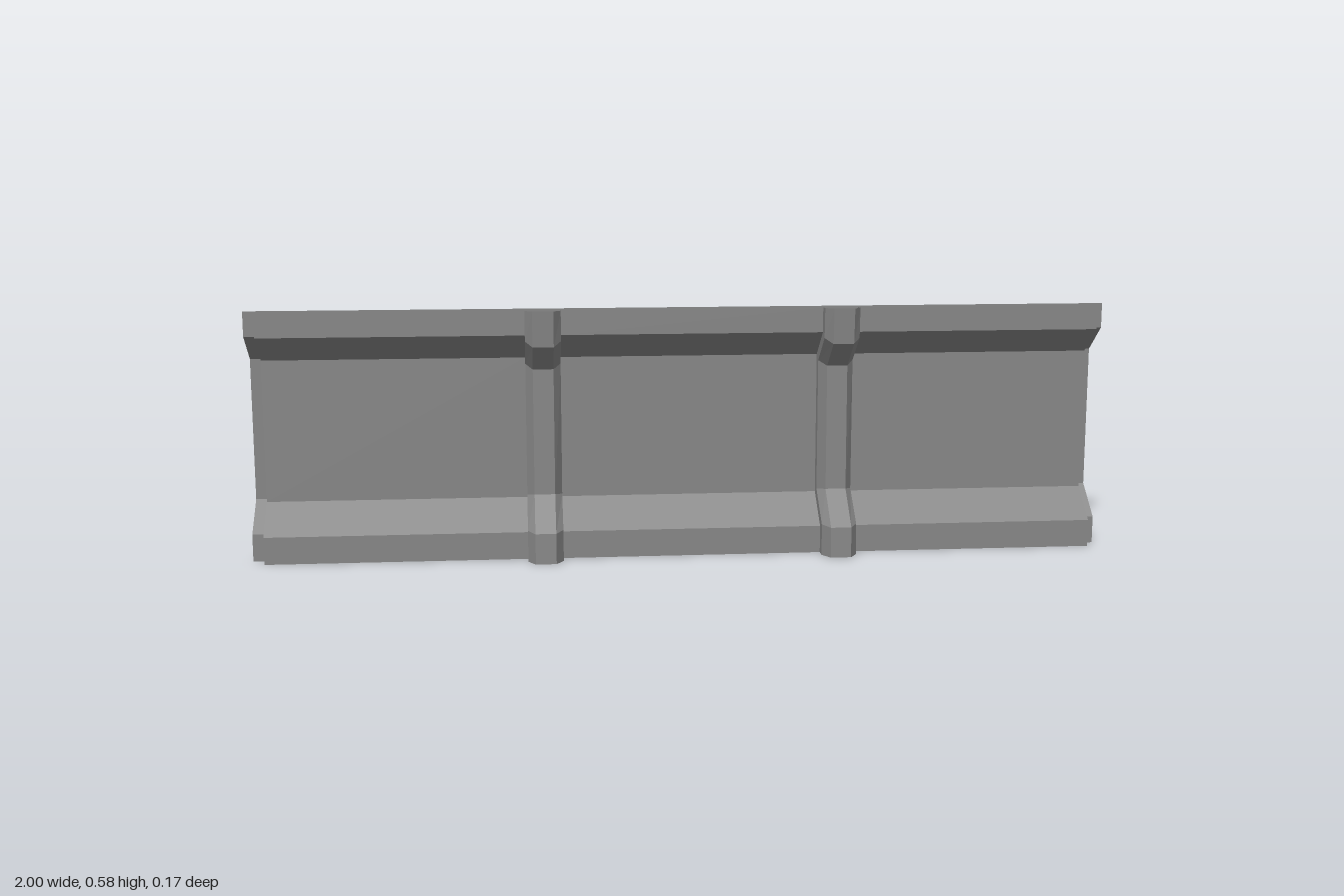
import * as THREE from 'three';

const material = new THREE.MeshStandardMaterial({
  color: 0x878787, flatShading: true, side: THREE.DoubleSide,
});

// Bent side profiles as [z, y], from the bottom flange to the top flange
const SHEET = [[0.028, 0], [0.028, 0.064], [-0.051, 0.131], [-0.051, 0.464], [0.028, 0.525], [0.028, 0.583]];
const RIB_SHOULDER = [[0.055, 0], [0.051, 0.073], [-0.029, 0.142], [-0.029, 0.452], [0.051, 0.514], [0.055, 0.584]];
const RIB_FACE = [[0.083, 0], [0.08, 0.071], [-0.001, 0.147], [-0.004, 0.442], [0.074, 0.503], [0.081, 0.585]];

const RIB_HALF = 0.041;
const FACE_HALF = 0.024;
const RIBS = [['rightRib', -0.323], ['leftRib', 0.366]];

// Skin a strip between neighbouring rails; each rail is a side profile placed at x
function skin(name, rails) {
  const positions = [];
  const point = (rail, i) => [rail.x, rail.profile[i][1], rail.profile[i][0]];
  for (let r = 0; r < rails.length - 1; r++) {
    for (let i = 0; i < SHEET.length - 1; i++) {
      const a = point(rails[r], i), b = point(rails[r + 1], i);
      const c = point(rails[r + 1], i + 1), d = point(rails[r], i + 1);
      positions.push(...a, ...b, ...c, ...a, ...c, ...d);
    }
  }
  const geometry = new THREE.BufferGeometry();
  geometry.setAttribute('position', new THREE.Float32BufferAttribute(positions, 3));
  geometry.computeVertexNormals();
  const mesh = new THREE.Mesh(geometry, material);
  mesh.name = name;
  return mesh;
}

const sheet = (name, x0, x1) => skin(name, [{ x: x0, profile: SHEET }, { x: x1, profile: SHEET }]);

export function createModel() {
  const model = new THREE.Group();
  model.name = 'wallPanel';

  // Back sheet, slightly longer than the front
  const back = sheet('backSheet', -1, 1);
  back.position.z = -0.034;
  model.add(back);

  // Front sheet in sections, interrupted by hollow chamfered ribs open at both ends
  let start = -0.97;
  for (const [name, x] of RIBS) {
    model.add(sheet('frontSheet', start, x - RIB_HALF));
    const rib = skin(name, [
      { x: -RIB_HALF, profile: SHEET },
      { x: -RIB_HALF, profile: RIB_SHOULDER },
      { x: -FACE_HALF, profile: RIB_FACE },
      { x: FACE_HALF, profile: RIB_FACE },
      { x: RIB_HALF, profile: RIB_SHOULDER },
      { x: RIB_HALF, profile: SHEET },
    ]);
    rib.position.x = x;
    model.add(rib);
    start = x + RIB_HALF;
  }
  model.add(sheet('frontSheet', start, 0.977));

  return model;
}
